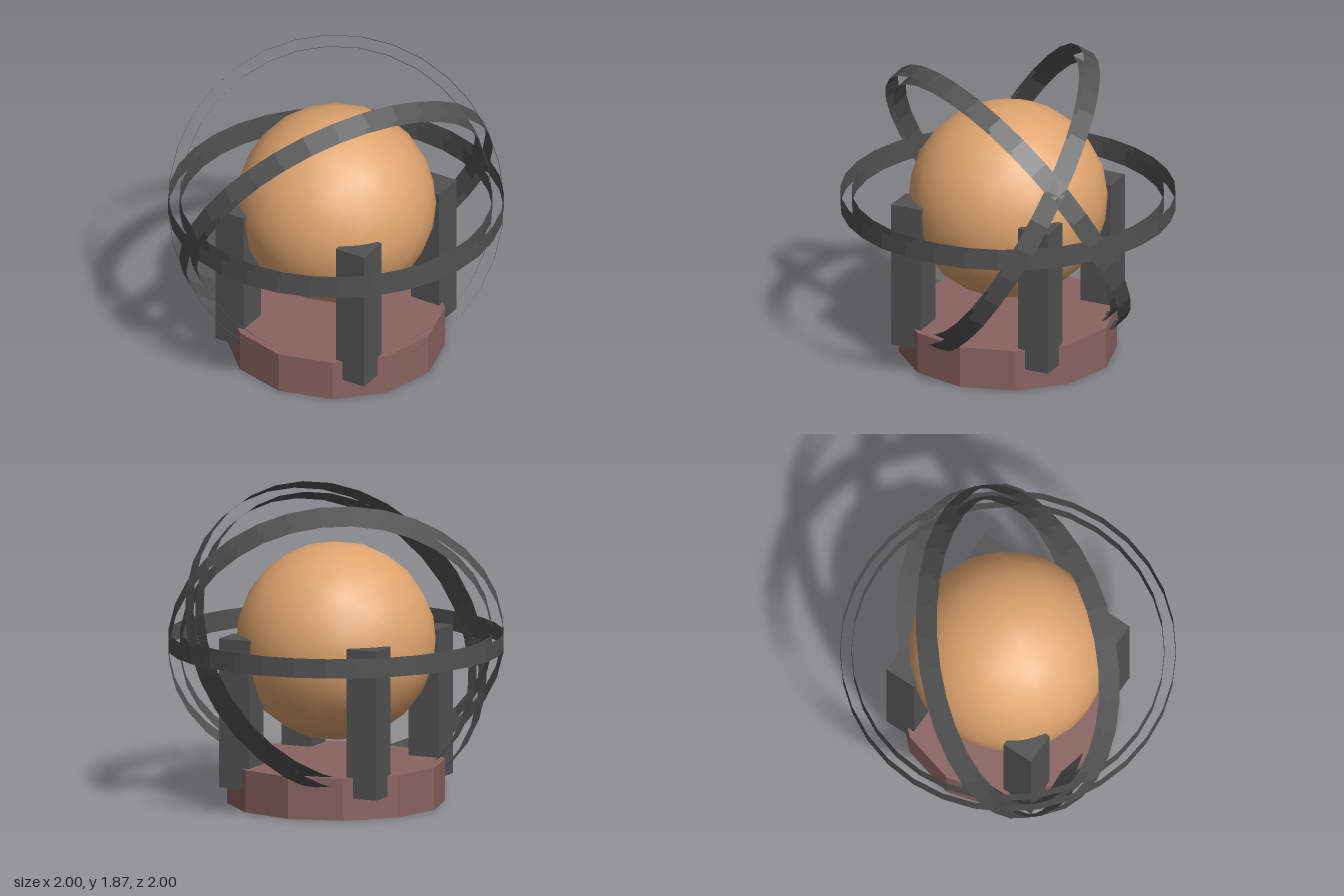
import * as THREE from 'three';

const CENTER_Y = 0.975;

export function createModel() {
  const model = new THREE.Group();
  model.name = 'ringedGlobe';

  const material = (name, color, options = {}) => {
    const m = new THREE.MeshStandardMaterial({ color, ...options });
    m.name = name;
    return m;
  };
  const orange = material('globeOrange', 0xdfa46e);
  const brown = material('baseBrown', 0x8a6461);
  const gray = material('frameGray', 0x525252, { flatShading: true, side: THREE.DoubleSide });
  brown.flatShading = true;

  const add = (parent, name, geometry, mat, x = 0, y = 0, z = 0) => {
    const mesh = new THREE.Mesh(geometry, mat);
    mesh.name = name;
    mesh.position.set(x, y, z);
    parent.add(mesh);
    return mesh;
  };

  // Twelve-sided base and the globe
  add(model, 'base', new THREE.CylinderGeometry(0.65, 0.65, 0.255, 12), brown, 0, 0.1275, 0);
  add(model, 'globe', new THREE.IcosahedronGeometry(0.597, 3), orange, 0, CENTER_Y, 0);

  // Four square posts
  const postGeometry = new THREE.BoxGeometry(0.197, 0.9, 0.197);
  for (const [sx, side] of [[1, 'left'], [-1, 'right']]) {
    for (const [sz, end] of [[1, 'Front'], [-1, 'Back']]) {
      add(model, `${side}${end}Post`, postGeometry, gray, sx * 0.422, 0.58, sz * 0.422);
    }
  }

  // Each ring is an outer and an inner wall, open at the rims
  const wall = (radius) => new THREE.CylinderGeometry(radius, radius, 0.105, 32, 1, true);
  const outerWall = wall(1);
  const innerWall = wall(0.932);
  const up = new THREE.Vector3(0, 1, 0);
  const rings = {
    levelRing: [0, 1, 0],
    frontTiltedRing: [0.433, 0.5, 0.75],
    sideTiltedRing: [-0.75, 0.5, -0.433],
  };
  for (const [name, axis] of Object.entries(rings)) {
    const ring = new THREE.Group();
    ring.name = name;
    ring.position.y = CENTER_Y;
    ring.quaternion.setFromUnitVectors(up, new THREE.Vector3(...axis).normalize());
    add(ring, 'outerWall', outerWall, gray);
    add(ring, 'innerWall', innerWall, gray);
    model.add(ring);
  }

  return model;
}
